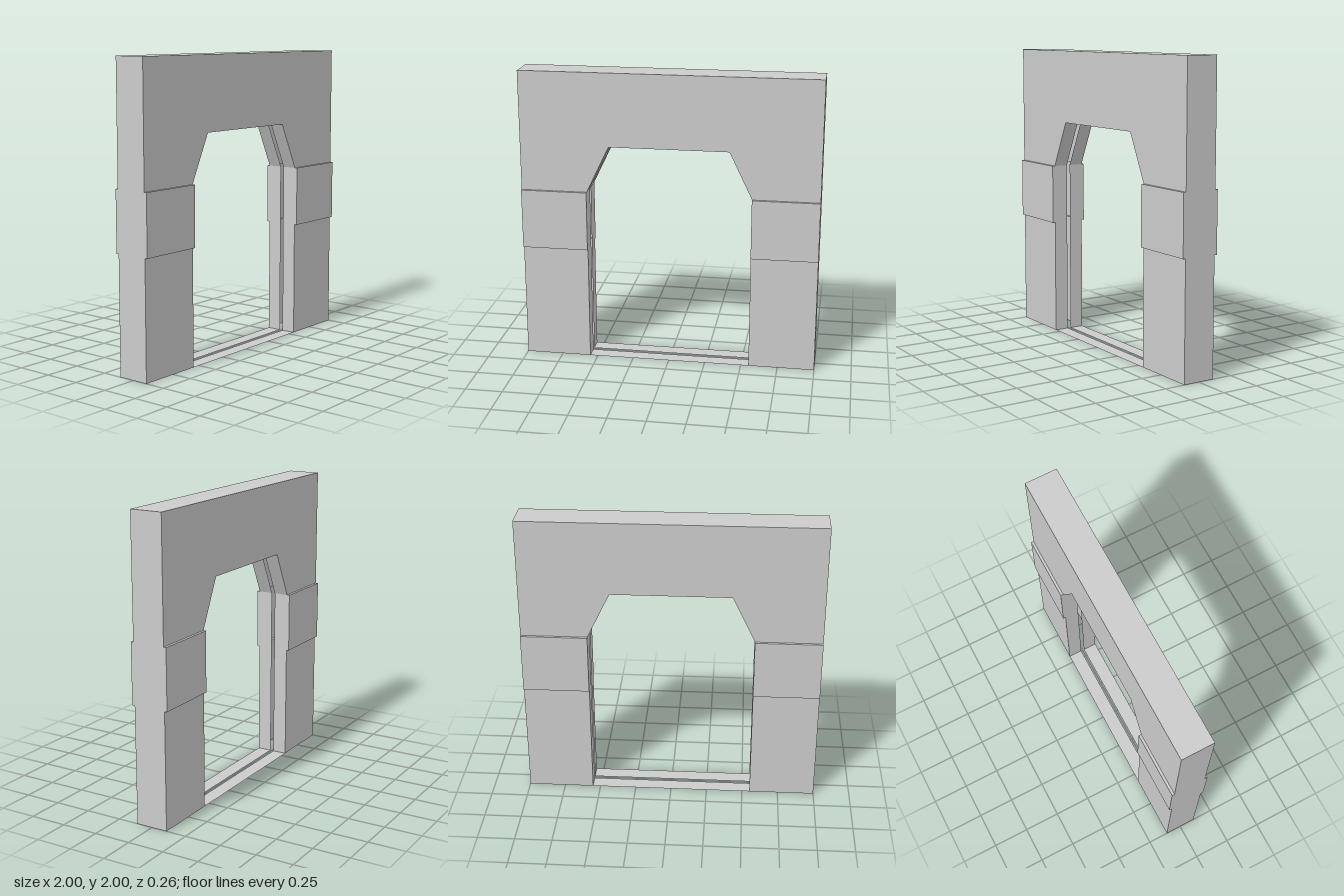
import * as THREE from 'three';

const W = 1, H = 2;                  // half width, height
const JAMB = 0.553;                  // half width of the opening
const HEAD_X = 0.4, HEAD_Y = 1.506;  // flat top of the opening
const BAND_LOW = 0.785, BAND_TOP = 1.19;
const Z = 0.11, BAND_Z = 0.128, SLOT = 0.012; // wall depth, band depth, half slot

const material = new THREE.MeshStandardMaterial({ color: 0xcccccc, flatShading: true, side: THREE.DoubleSide });

function add(group, name, geometry) {
  const mesh = new THREE.Mesh(geometry, material);
  mesh.name = name;
  group.add(mesh);
}

const shape = pts => new THREE.ShapeGeometry(new THREE.Shape(pts.map(p => new THREE.Vector2(...p))));

// Flat strips running along an open path of points, from offset a to offset b
function strip(path, place, a, b) {
  const pos = [];
  for (let i = 0; i < path.length - 1; i++) {
    const p = place(path[i], a), q = place(path[i], b);
    const r = place(path[i + 1], b), s = place(path[i + 1], a);
    pos.push(...p, ...q, ...r, ...p, ...r, ...s);
  }
  const g = new THREE.BufferGeometry();
  g.setAttribute('position', new THREE.Float32BufferAttribute(pos, 3));
  g.computeVertexNormals();
  return g;
}

const alongX = ([z, y], x) => [x, y, z];
const alongZ = ([x, y], z) => [x, y, z];

// Post section as [z, y], stepping out at the band
const postPath = [[Z, 0], [Z, BAND_LOW], [BAND_Z, BAND_LOW], [BAND_Z, BAND_TOP], [Z, BAND_TOP]];

// Upright panel in the zy plane, facing +x or -x
function sidePanel(x, facing, pts) {
  return shape(pts.map(([z, y]) => [-facing * z, y])).rotateY(facing * Math.PI / 2).translate(x, 0, 0);
}

// One half of the hollow frame, on the +z side of the door slot
function createHalf(name) {
  const half = new THREE.Group();
  half.name = name;

  // Wall above the posts
  const head = [[-JAMB, BAND_TOP], [-HEAD_X, HEAD_Y], [HEAD_X, HEAD_Y], [JAMB, BAND_TOP]];
  add(half, 'upperWall', shape([[-W, BAND_TOP], ...head, [W, BAND_TOP], [W, H], [-W, H]]).translate(0, 0, Z));

  // Sloped and flat head of the opening
  add(half, 'openingHead', strip(head, alongZ, Z, SLOT));

  // Banded posts with outer sides and slotted inner jambs
  for (const s of [-1, 1]) {
    const side = s > 0 ? 'left' : 'right';
    const x0 = Math.min(s * JAMB, s * W), x1 = Math.max(s * JAMB, s * W);
    add(half, side + 'PostFace', strip(postPath, alongX, x0, x1));
    add(half, side + 'OuterSide', sidePanel(s * W, s, [[0, 0], ...postPath, [Z, H], [0, H]]));
    add(half, side + 'Jamb', sidePanel(s * JAMB, -s, [[SLOT, 0], ...postPath, [SLOT, BAND_TOP]]));
  }

  // Top cover and thin threshold strip
  add(half, 'topCover', strip([[-W, H], [W, H]], alongZ, Z, 0));
  add(half, 'threshold', strip([[-JAMB, 0], [JAMB, 0]], alongZ, Z, SLOT));
  return half;
}

export function createModel() {
  const model = new THREE.Group();
  model.name = 'doorFrame';
  const front = createHalf('frontHalf');
  const back = createHalf('backHalf');
  back.rotation.y = Math.PI;
  model.add(front, back);
  return model;
}
